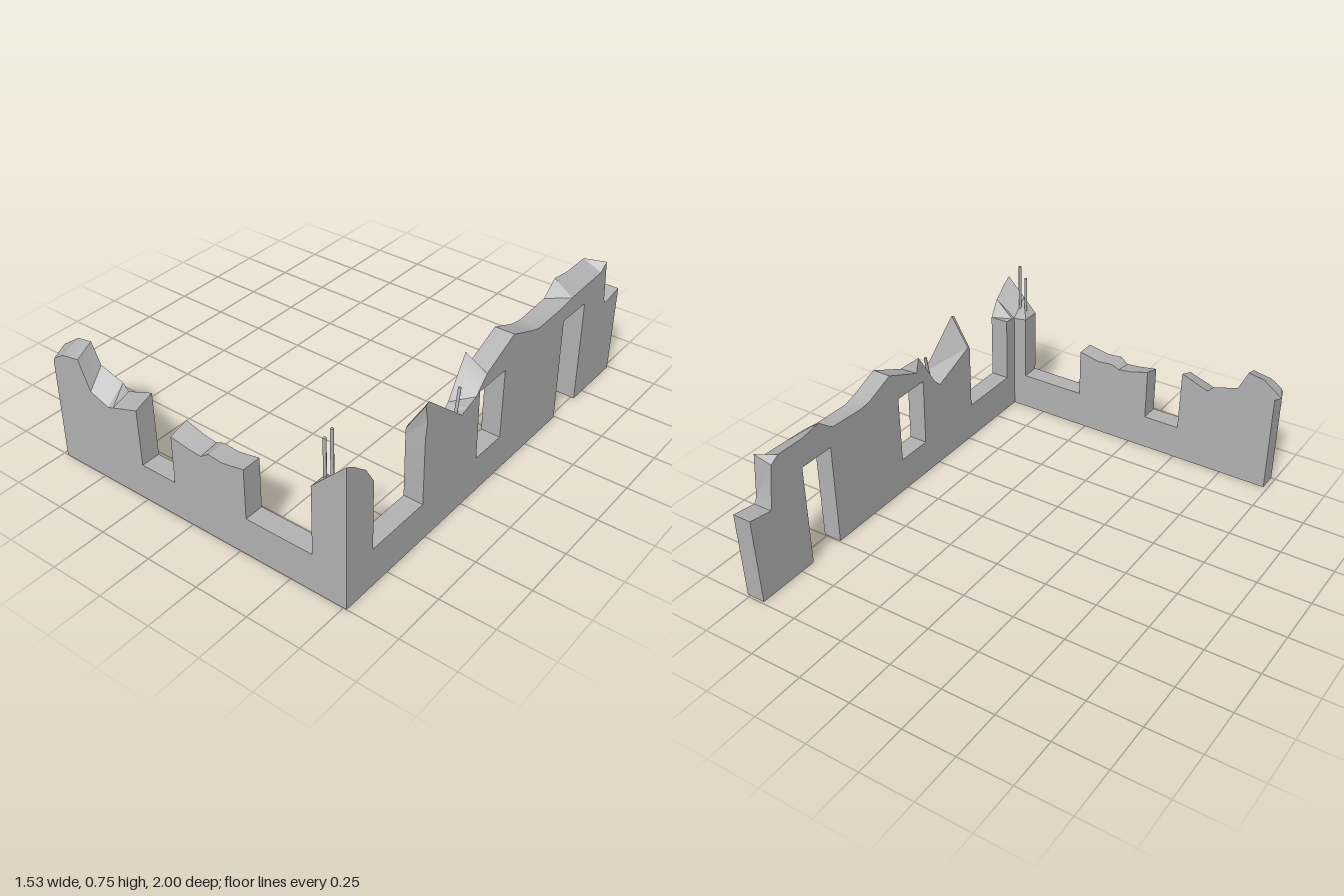
import * as THREE from 'three';
import { toCreasedNormals } from 'three/addons/utils/BufferGeometryUtils.js';

// Wall slab whose outer and inner outlines differ along the broken top.
// Each point is [u, yOuter, yInner = yOuter, uInner = u], counter-clockwise seen from outside.
function slab(outline, holes, place) {
  const side = (p, inner) => inner
    ? new THREE.Vector2(p[3] ?? p[0], p[2] ?? p[1])
    : new THREE.Vector2(p[0], p[1]);
  const pos = [];
  const push = (v, inner) => pos.push(...place(v.x, v.y, inner));

  // the two broad faces
  for (const inner of [false, true]) {
    const contour = outline.map(p => side(p, inner));
    const cuts = holes.map(h => h.map(p => side(p, inner)));
    const all = [contour, ...cuts].flat();
    for (const [a, b, c] of THREE.ShapeUtils.triangulateShape(contour, cuts)) {
      for (const i of inner ? [a, c, b] : [a, b, c]) push(all[i], inner);
    }
  }
  // edges, broken top and reveals
  for (const loop of [outline, ...holes]) {
    loop.forEach((a, i) => {
      const b = loop[(i + 1) % loop.length];
      for (const [p, inner] of [[a, 0], [a, 1], [b, 1], [a, 0], [b, 1], [b, 0]]) {
        push(side(p, inner), inner);
      }
    });
  }
  const g = new THREE.BufferGeometry();
  g.setAttribute('position', new THREE.Float32BufferAttribute(pos, 3));
  return toCreasedNormals(g, 0.4);
}

export function createModel() {
  const model = new THREE.Group();
  model.name = 'ruinedCornerWall';
  const concrete = new THREE.MeshStandardMaterial({ color: 0xb2b2b2 });
  concrete.name = 'concreteGrey';
  const add = (name, geometry) => {
    const mesh = new THREE.Mesh(geometry, concrete);
    mesh.name = name;
    model.add(mesh);
    return mesh;
  };

  // Front wall, u = x
  const front = [
    [-0.73, 0], [0.675, 0],
    [0.675, 0.57, 0.49], [0.607, 0.5],            // corner post
    [0.607, 0.18], [0.287, 0.18],                 // wide sill
    [0.287, 0.415], [0.18, 0.395], [0.11, 0.402], // middle stump
    [0.07, 0.373, 0.385], [0, 0.38, 0.395], [-0.085, 0.395, 0.42],
    [-0.085, 0.17], [-0.262, 0.17],               // narrow sill
    [-0.267, 0.435, 0.47], [-0.4, 0.39, 0.42], [-0.43, 0.38, 0.45],
    [-0.525, 0.415, 0.485, -0.55], [-0.58, 0.545, 0.58, -0.595],
    [-0.67, 0.53, 0.567], [-0.725, 0.495, 0.5, -0.765],
    [-0.732, 0.48]
  ];
  add('frontWall', slab(front, [], (u, y, inner) => [u, y, inner ? 0.91 : 1]));

  // Side wall, u = -z
  const sideWall = [
    [-1, 0], [0.495, 0],
    [0.495, 0.5], [0.675, 0.5], [0.675, 0],       // doorway
    [0.99, 0], [1, 0.425],
    [0.88, 0.405], [0.865, 0.43, 0.42, 0.875],
    [0.845, 0.63, 0.61], [0.8, 0.597, 0.637], [0.66, 0.592, 0.635],
    [0.55, 0.588, 0.652], [0.47, 0.577, 0.59], [0.28, 0.572, 0.58],
    [0.22, 0.59], [0.08, 0.645],
    [-0.11, 0.56, 0.565], [-0.13, 0.54, 0.635], [-0.18, 0.49, 0.56],
    [-0.24, 0.47, 0.46], [-0.28, 0.46, 0.42],
    [-0.51, 0.655, 0.51], [-0.53, 0.645, 0.5, -0.525], [-0.515, 0.57, 0.48, -0.525],
    [-0.525, 0.48, 0.46],
    [-0.525, 0.18], [-0.842, 0.18],               // low sill
    [-0.842, 0.5], [-0.89, 0.58, 0.495], [-0.91, 0.595, 0.49],
    [-0.96, 0.637, 0.535], [-1, 0.66, 0.57]       // corner post
  ];
  const windowHole = [[-0.155, 0.5], [0.03, 0.5], [0.027, 0.17], [-0.15, 0.17]];
  add('sideWall', slab(sideWall, [windowHole], (u, y, inner) => [inner ? 0.675 : 0.765, y, -u]));

  // Exposed reinforcing bars
  const bars = [
    [[0.637, 0.45, 0.957], [0.637, 0.70, 0.957]],
    [[0.67, 0.45, 0.957], [0.67, 0.755, 0.957]],
    [[0.735, 0.44, 0.278], [0.732, 0.56, 0.252]]
  ];
  for (const [from, to] of bars) {
    const a = new THREE.Vector3(...from), b = new THREE.Vector3(...to);
    const dir = b.clone().sub(a);
    const bar = add('reinforcingBar', new THREE.CylinderGeometry(0.007, 0.007, dir.length(), 8));
    bar.position.copy(a).add(b).multiplyScalar(0.5);
    bar.quaternion.setFromUnitVectors(new THREE.Vector3(0, 1, 0), dir.normalize());
  }
  return model;
}
